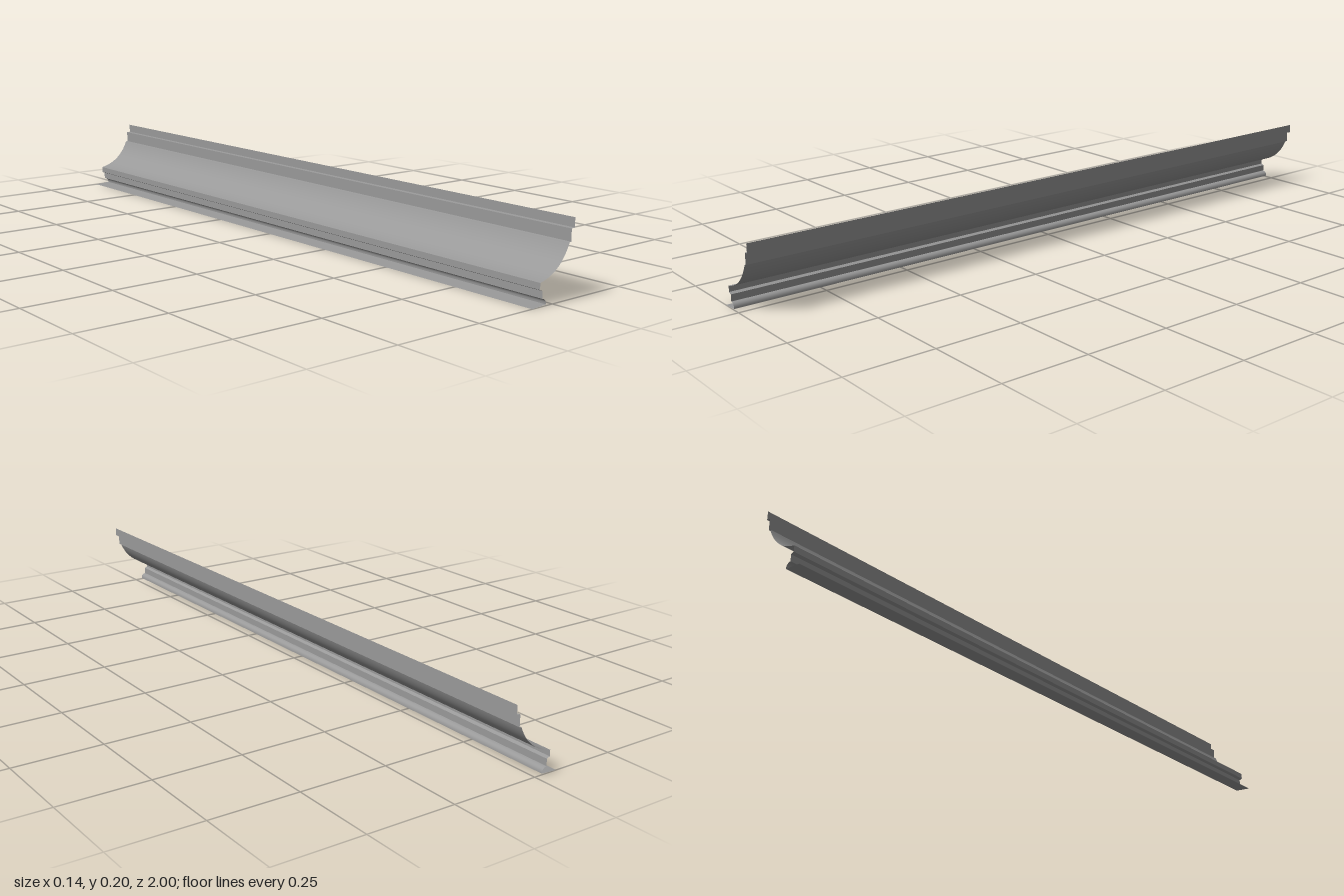
import * as THREE from 'three';

const material = new THREE.MeshStandardMaterial({ color: 0x999999, side: THREE.DoubleSide });

// Sweep an open [x, y] profile, listed from top to bottom, along z; smooth across its points
function strip(name, profile) {
  const positions = [], index = [];
  profile.forEach(([x, y], i) => {
    positions.push(x, y, -1, x, y, 1);
    const a = 2 * i;
    if (i < profile.length - 1) index.push(a, a + 2, a + 1, a + 1, a + 2, a + 3);
  });
  const geometry = new THREE.BufferGeometry();
  geometry.setAttribute('position', new THREE.Float32BufferAttribute(positions, 3));
  geometry.setIndex(index);
  geometry.computeVertexNormals();
  const mesh = new THREE.Mesh(geometry, material);
  mesh.name = name;
  return mesh;
}

// Points of a quadratic curve from a to b, pulled toward c
function curve(a, c, b, n) {
  const v = (p) => new THREE.Vector2(...p);
  return new THREE.QuadraticBezierCurve(v(a), v(c), v(b)).getPoints(n).map((p) => [p.x, p.y]);
}

export function createModel() {
  const group = new THREE.Group();
  group.name = 'coveMoulding';

  // Flat facets with hard edges between them
  const facets = (name, pts) => {
    for (let i = 0; i < pts.length - 1; i++) group.add(strip(name + (i + 1), [pts[i], pts[i + 1]]));
  };

  // Upper fillet: tall lip and two level ledges
  facets('upperFillet', [[0.071, 0.2], [0.071, 0.175], [0.06, 0.174], [0.06, 0.142], [0.054, 0.141]]);

  // Large concave cove
  group.add(strip('cove', curve([0.054, 0.141], [0.026, 0.073], [-0.046, 0.059], 20)));

  // Lower fillet: nose, undercut and second step
  facets('lowerFillet', [[-0.046, 0.059], [-0.046, 0.042], [-0.037, 0.038], [-0.037, 0.019]]);

  // Small rounded bead running into the foot
  group.add(strip('footBead', curve([-0.037, 0.019], [-0.023, 0.017], [-0.023, 0.003], 8)));

  // Flat foot flange
  facets('footFlange', [[-0.023, 0.003], [-0.071, 0]]);

  return group;
}
